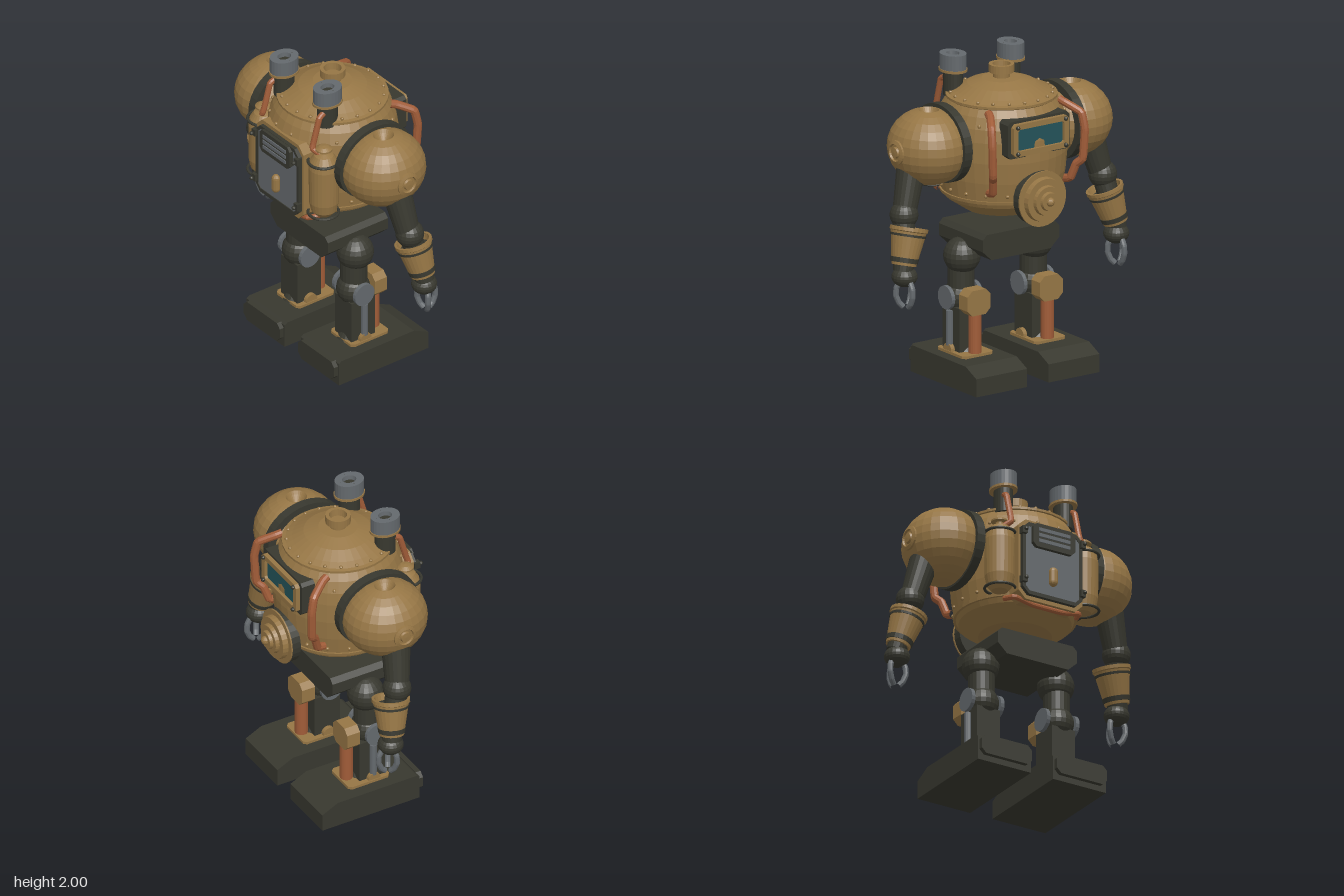
import * as THREE from 'three';

const paint = (name, color) => new THREE.MeshStandardMaterial({ name, color, flatShading: true });
const V = (x, y, z) => new THREE.Vector3(x, y, z);

export function createModel() {
  const brass = paint('brass', 0x967645), dark = paint('dark iron', 0x38382f), steel = paint('steel', 0x64696d);
  const copper = paint('copper', 0xa05c38), glass = paint('teal glass', 0x24535a);
  const root = new THREE.Group();
  root.name = 'robot';

  // --- helpers ---
  const add = (name, geo, mat, x = 0, y = 0, z = 0, parent = root) => {
    const m = new THREE.Mesh(geo, mat);
    m.name = name;
    m.position.set(x, y, z);
    parent.add(m);
    return m;
  };
  const box = (w, h, d) => new THREE.BoxGeometry(w, h, d);
  const cyl = (rt, rb, h, n = 20) => new THREE.CylinderGeometry(rt, rb, h, n);
  const ball = (r, n = 20) => new THREE.SphereGeometry(r, n, Math.ceil(n * 0.6));
  const lathe = (pts, n = 24) => new THREE.LatheGeometry(pts.map(p => new THREE.Vector2(...p)), n);
  const tube = (pts, r) => new THREE.TubeGeometry(
    new THREE.CatmullRomCurve3(pts, false, 'catmullrom', 0.15), pts.length * 6, r, 10);
  const extrude = (pts, d, holes = []) => {
    const s = new THREE.Shape(pts.map(p => new THREE.Vector2(...p)));
    holes.forEach(h => s.holes.push(new THREE.Path(h.map(p => new THREE.Vector2(...p)))));
    return new THREE.ExtrudeGeometry(s, { depth: d, bevelEnabled: false }).translate(0, 0, -d / 2);
  };
  const octagon = (w, h, c) => {
    const x = w / 2, y = h / 2;
    return [[-x + c, -y], [x - c, -y], [x, -y + c], [x, y - c], [x - c, y], [-x + c, y], [-x, y - c], [-x, -y + c]];
  };
  const plate = (w, h, d, c) => extrude(octagon(w, h, c), d);
  const frame = (w, h, d, c, t) => extrude(octagon(w, h, c), d, [octagon(w - 2 * t, h - 2 * t, c * 0.6).reverse()]);
  // Orients a y-axis object along a to b
  const aim = (mesh, a, b) => {
    mesh.position.copy(a).lerp(b, 0.5);
    mesh.quaternion.setFromUnitVectors(V(0, 1, 0), b.clone().sub(a).normalize());
    return mesh;
  };
  const rod = (name, a, b, ra, rb, mat) => aim(add(name, cyl(rb, ra, a.distanceTo(b)), mat), a, b);

  // --- boiler body ---
  const cz = 0.025;
  add('body', lathe([[0, 1.045], [0.225, 1.045], [0.3, 1.095], [0.345, 1.125], [0.368, 1.17], [0.39, 1.29],
    [0.402, 1.42], [0.4, 1.55], [0.388, 1.63], [0.362, 1.7], [0.335, 1.745], [0.342, 1.75], [0.342, 1.765],
    [0.32, 1.77], [0.28, 1.79], [0.21, 1.83], [0.12, 1.86], [0, 1.865]], 36), brass, 0, 0, cz);
  add('lowerSeam', lathe([[0.36, 1.155], [0.376, 1.155], [0.38, 1.175], [0.36, 1.175]], 36), brass, 0, 0, cz);
  for (const [r, y, n] of [[0.313, 1.776, 20], [0.382, 1.65, 16], [0.379, 1.21, 18]])
    for (let i = 0; i < n; i++) {
      const a = (i + 0.5) / n * Math.PI * 2;
      add('rivet', ball(0.012, 8), brass, Math.sin(a) * r, y, cz + Math.cos(a) * r);
    }
  add('fillerCap', lathe([[0.052, 1.85], [0.052, 1.895], [0.078, 1.895], [0.078, 1.945], [0.055, 1.945],
    [0.05, 1.9], [0, 1.9]]), brass, 0, 0, cz);

  // --- front hatch ---
  add('hatchMount', plate(0.46, 0.53, 0.11, 0.05), brass, 0, 1.37, 0.37);
  add('hatchFrame', frame(0.43, 0.48, 0.05, 0.045, 0.024), dark, 0, 1.37, 0.425);
  add('hatchPanel', plate(0.39, 0.44, 0.03, 0.035), steel, 0, 1.37, 0.43);
  add('ventFrame', plate(0.3, 0.155, 0.03, 0.025), dark, 0, 1.53, 0.455);
  for (let i = 0; i < 3; i++) add('ventSlat', box(0.225, 0.022, 0.016), steel, 0, 1.495 + i * 0.037, 0.468);
  add('hatchHandle', new THREE.CapsuleGeometry(0.028, 0.07, 4, 10), brass, 0, 1.28, 0.458);
  add('frontPipe', tube([V(-0.26, 1.13, 0.31), V(-0.23, 1.12, 0.385), V(-0.1, 1.095, 0.39), V(0.1, 1.095, 0.39),
    V(0.23, 1.12, 0.385), V(0.26, 1.13, 0.31)], 0.017), copper);

  // --- back window and dial ---
  add('windowHousing', plate(0.46, 0.235, 0.09, 0.02), dark, 0, 1.583, -0.318);
  add('windowFrame', frame(0.41, 0.205, 0.03, 0.02, 0.034), brass, 0, 1.583, -0.377);
  add('windowGlass', box(0.35, 0.145, 0.008), glass, 0, 1.583, -0.368);
  const dial = add('dial', lathe([[0, 0], [0.165, 0], [0.165, 0.035], [0.175, 0.035], [0.175, 0.045], [0.14, 0.045],
    [0.135, 0.08], [0.095, 0.08], [0.09, 0.105], [0.06, 0.105], [0.055, 0.125], [0, 0.125]], 28), brass, 0, 1.19, -0.36);
  dial.rotation.x = -Math.PI / 2;
  const dialBase = add('dialBase', cyl(0.17, 0.17, 0.06, 28), dark, 0, 1.19, -0.365);
  dialBase.rotation.x = Math.PI / 2;
  add('dialKnob', ball(0.028, 12), brass, 0, 1.19, -0.485);

  // --- pelvis ---
  add('pelvis', extrude([[-0.22, 0.785], [0.22, 0.785], [0.285, 0.845], [0.285, 0.92], [0.255, 0.95],
    [-0.255, 0.95], [-0.285, 0.92], [-0.285, 0.845]], 0.46), dark, 0, 0, 0.05);

  for (const s of [-1, 1]) {
    // Exhaust stacks, oval in plan
    const stack = new THREE.Group();
    stack.name = 'exhaustStack';
    stack.position.set(s * 0.215, 0, 0.23);
    stack.scale.set(0.82, 1, 1);
    root.add(stack);
    add('stackPipe', cyl(0.068, 0.068, 0.16), dark, 0, 1.815, 0, stack);
    add('stackCollar', cyl(0.1, 0.1, 0.015), brass, 0, 1.897, 0, stack);
    add('stackTop', lathe([[0.094, 1.9], [0.094, 2], [0.045, 2], [0.04, 1.96], [0, 1.96]]), steel, 0, 0, 0, stack);
    add('stackBore', cyl(0.04, 0.04, 0.02), dark, 0, 1.962, 0, stack);
    for (let i = 0; i < 3; i++) {
      const a = Math.PI / 2 + i * Math.PI / 2;
      add('stackBolt', ball(0.013, 8), dark, Math.sin(a) * 0.068, 1.988, Math.cos(a) * 0.06, stack);
    }
    add('stackFeedPipe', tube([V(s * 0.24, 1.84, 0.28), V(s * 0.245, 1.82, 0.315), V(s * 0.245, 1.66, 0.36),
      V(s * 0.25, 1.625, 0.37), V(s * 0.29, 1.59, 0.34)], 0.019), copper);

    // Side tanks with straps
    add('tank', lathe([[0, 1.16], [0.05, 1.165], [0.08, 1.2], [0.092, 1.26], [0.094, 1.5], [0.085, 1.55],
      [0.06, 1.59], [0.025, 1.605], [0.025, 1.62], [0.052, 1.625], [0.052, 1.635], [0.03, 1.65], [0, 1.655]]),
      brass, s * 0.3, 0, 0.322);
    for (const y of [1.18, 1.548]) {
      const strap = add('tankStrap', new THREE.TorusGeometry(0.094, 0.009, 8, 28), dark, s * 0.3, y, 0.327);
      strap.rotation.x = Math.PI / 2;
    }
    // Hatch latches and window bolts
    for (const y of [1.22, 1.545]) {
      add('latch', box(0.034, 0.045, 0.04), dark, s * 0.21, y, 0.452);
      add('latchKnob', ball(0.013, 8), dark, s * 0.21, y, 0.485);
    }
    for (const y of [1.5, 1.666]) add('windowBolt', ball(0.014, 8), dark, s * 0.178, y, -0.397);
    add('backPipe', tube([V(s * 0.265, 1.73, -0.21), V(s * 0.28, 1.715, -0.25), V(s * 0.335, 1.665, -0.34),
      V(s * 0.345, 1.56, -0.362), V(s * 0.335, 1.38, -0.355), V(s * 0.31, 1.34, -0.32), V(s * 0.29, 1.25, -0.29),
      V(s * 0.28, 1.235, -0.24)], 0.026), copper);

    // Shoulder with recessed top socket
    const arc = [];
    for (let i = 0; i <= 13; i++) {
      const a = -Math.PI / 2 + i / 13 * (Math.PI - 0.25);
      arc.push([Math.max(0, Math.cos(a)), Math.sin(a)]);
    }
    arc.push([0.2, 0.88], [0.1, 0.72], [0, 0.72]);
    add('shoulder', lathe(arc, 28), brass, s * 0.53, 1.51, 0.043).scale.set(0.25, 0.238, 0.267);
    const band = add('shoulderBand', cyl(0.245, 0.245, 0.057, 32), dark, s * 0.427, 1.515, 0.043);
    band.rotation.z = Math.PI / 2;
    band.scale.z = 1.13;
    const cap = add('shoulderCap', lathe([[0, 0], [0.075, 0], [0.075, 0.022], [0.055, 0.03], [0.05, 0.018],
      [0.036, 0.018], [0.03, 0.03], [0, 0.032]]), brass, s * 0.757, 1.51, 0.043);
    cap.rotation.z = -s * Math.PI / 2;

    // Arm
    const elbow = V(s * 0.742, 1.12, 0.005), cuffTop = V(s * 0.728, 1.045, -0.03), cuffEnd = V(s * 0.79, 0.825, -0.06);
    rod('upperArm', V(s * 0.655, 1.42, 0.045), V(s * 0.728, 1.15, 0.015), 0.093, 0.075, dark);
    add('elbow', ball(0.088), dark, elbow.x, elbow.y, elbow.z);
    rod('elbowLink', elbow, cuffEnd, 0.07, 0.06, dark);
    const axis = cuffEnd.clone().sub(cuffTop).normalize();
    const along = d => cuffTop.clone().addScaledVector(axis, d);
    aim(add('forearm', lathe([[0.09, -0.06], [0.102, -0.117], [0.118, -0.117], [0.118, -0.095], [0.11, -0.09],
      [0.076, 0.117], [0, 0.117]]), brass), cuffTop, cuffEnd);
    rod('cuffBand', along(0.04), along(0.055), 0.112, 0.11, dark);
    rod('wristBand', along(0.185), along(0.215), 0.087, 0.083, dark);
    rod('wrist', along(0.2), along(0.27), 0.068, 0.06, dark);
    const hand = V(s * 0.79, 0.755, -0.068);
    add('hand', ball(0.08), dark, hand.x, hand.y, hand.z).scale.y = 0.8;
    for (let i = 0; i < 3; i++) {
      const a = Math.PI + i * Math.PI * 2 / 3 + Math.PI;
      const p = (r, y) => V(hand.x + Math.cos(a + Math.PI / 6) * r, y, hand.z - 0.02 + Math.sin(a + Math.PI / 6) * r);
      add('claw', tube([p(0.04, 0.73), p(0.062, 0.69), p(0.064, 0.64), p(0.045, 0.595), p(0.02, 0.57)], 0.018), steel);
    }

    // Leg
    const x = s * 0.27, z = 0.06;
    add('hip', ball(0.115), dark, x, 0.77, z);
    add('thigh', cyl(0.083, 0.083, 0.18), dark, x, 0.63, z + 0.01);
    add('knee', ball(0.105), dark, x, 0.515, z + 0.015);
    for (const t of [-1, 1]) {
      const disc = add('kneeDisc', cyl(0.074, 0.074, 0.025), steel, x + t * 0.104, 0.515, z + 0.015);
      disc.rotation.z = Math.PI / 2;
      const lug = add('ankleLug', cyl(0.042, 0.042, 0.03), brass, x + t * 0.095, 0.188, z);
      lug.rotation.z = Math.PI / 2;
    }
    add('shin', box(0.165, 0.28, 0.18), dark, x, 0.32, z);
    add('shinStrut', cyl(0.022, 0.022, 0.22, 12), steel, x + s * 0.092, 0.325, z);
    add('ankle', cyl(0.085, 0.12, 0.05), dark, x, 0.195, z).scale.x = 0.85;
    add('anklePlate', plate(0.23, 0.29, 0.022, 0.02), brass, x, 0.174, 0.025).rotation.x = Math.PI / 2;
    add('calfBox', plate(0.17, 0.16, 0.09, 0.035), brass, x, 0.51, -0.073);
    add('calfPiston', cyl(0.04, 0.04, 0.26), copper, x, 0.31, -0.075);

    // Foot, profile runs from toe to heel
    const foot = add('foot', extrude([[-0.33, 0], [0.355, 0], [0.355, 0.115], [0.245, 0.168], [-0.31, 0.168],
      [-0.33, 0.155]], 0.38), dark, x, 0, 0);
    foot.rotation.y = Math.PI / 2;
    add('toePlate', plate(0.36, 0.125, 0.035, 0.03), dark, x, 0.1, 0.342);
  }
  return root;
}
